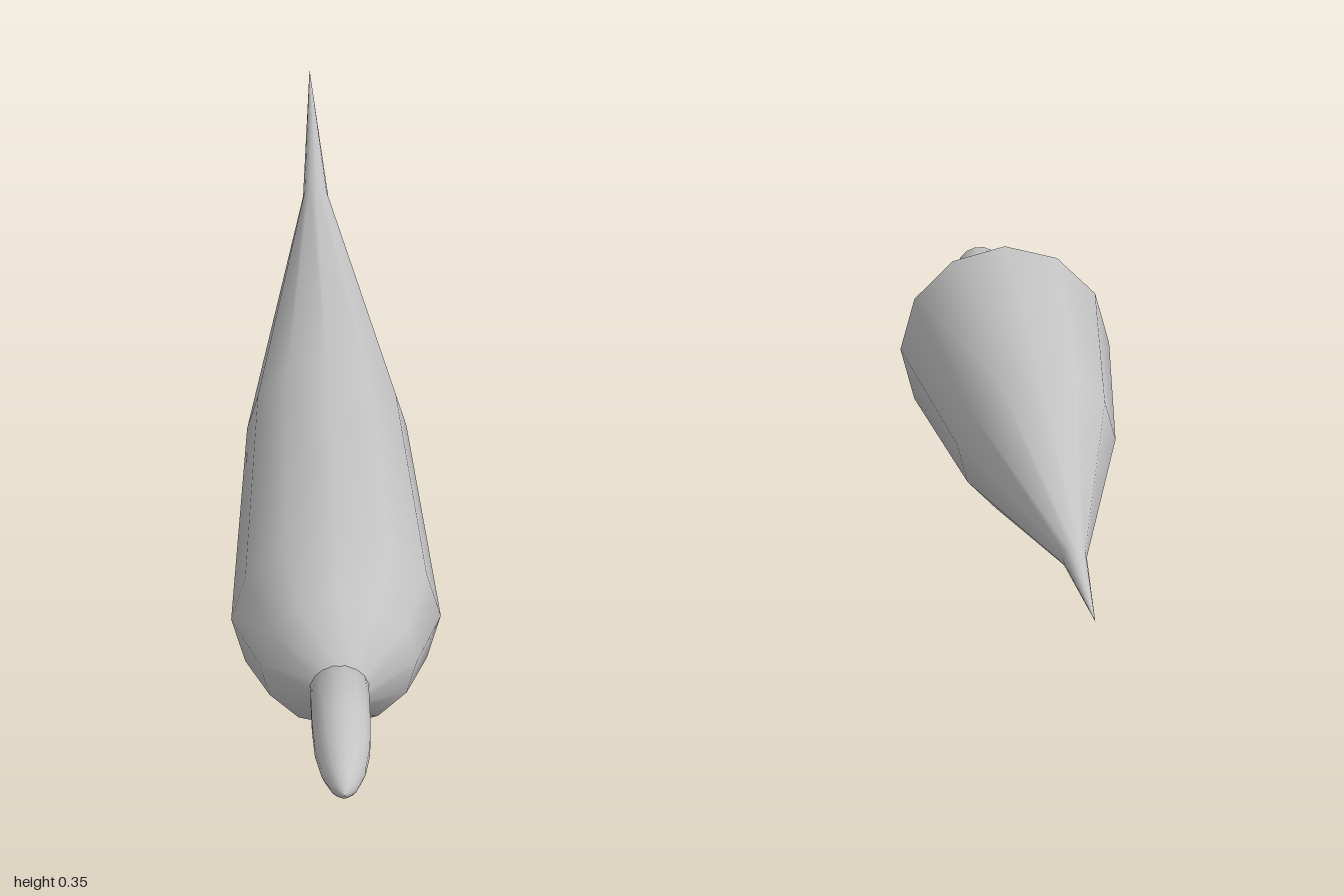
import * as THREE from 'three';

// Turn a profile of [radius, z] points (back to front) around the z axis
function turned(name, profile, sides, material, phase = 0) {
  const points = profile.map(([r, z]) => new THREE.Vector2(r, z));
  const geometry = new THREE.LatheGeometry(points, sides, phase);
  geometry.rotateX(Math.PI / 2);
  const mesh = new THREE.Mesh(geometry, material);
  mesh.name = name;
  return mesh;
}

export function createModel() {
  const grey = new THREE.MeshStandardMaterial({ color: 0xc4c4c4 });
  grey.name = 'grey';

  const model = new THREE.Group();
  model.name = 'taperedFloat';

  // Swollen body drawn out to a needle tail
  const body = turned('body', [
    [0, -1], [0.021, -0.65], [0.133, -0.015],
    [0.175, 0.51], [0.132, 0.633], [0.048, 0.71],
  ], 12, grey);

  // Slim rounded nose set into the front of the body
  const nose = turned('nose', [
    [0, 0.69], [0.05, 0.69], [0.05, 0.81], [0.047, 0.88],
    [0.038, 0.935], [0.024, 0.975], [0.012, 0.993], [0, 1],
  ], 16, grey, Math.PI / 16);

  model.add(body, nose);
  model.children.forEach((part) => { part.position.y = 0.176; });
  return model;
}
